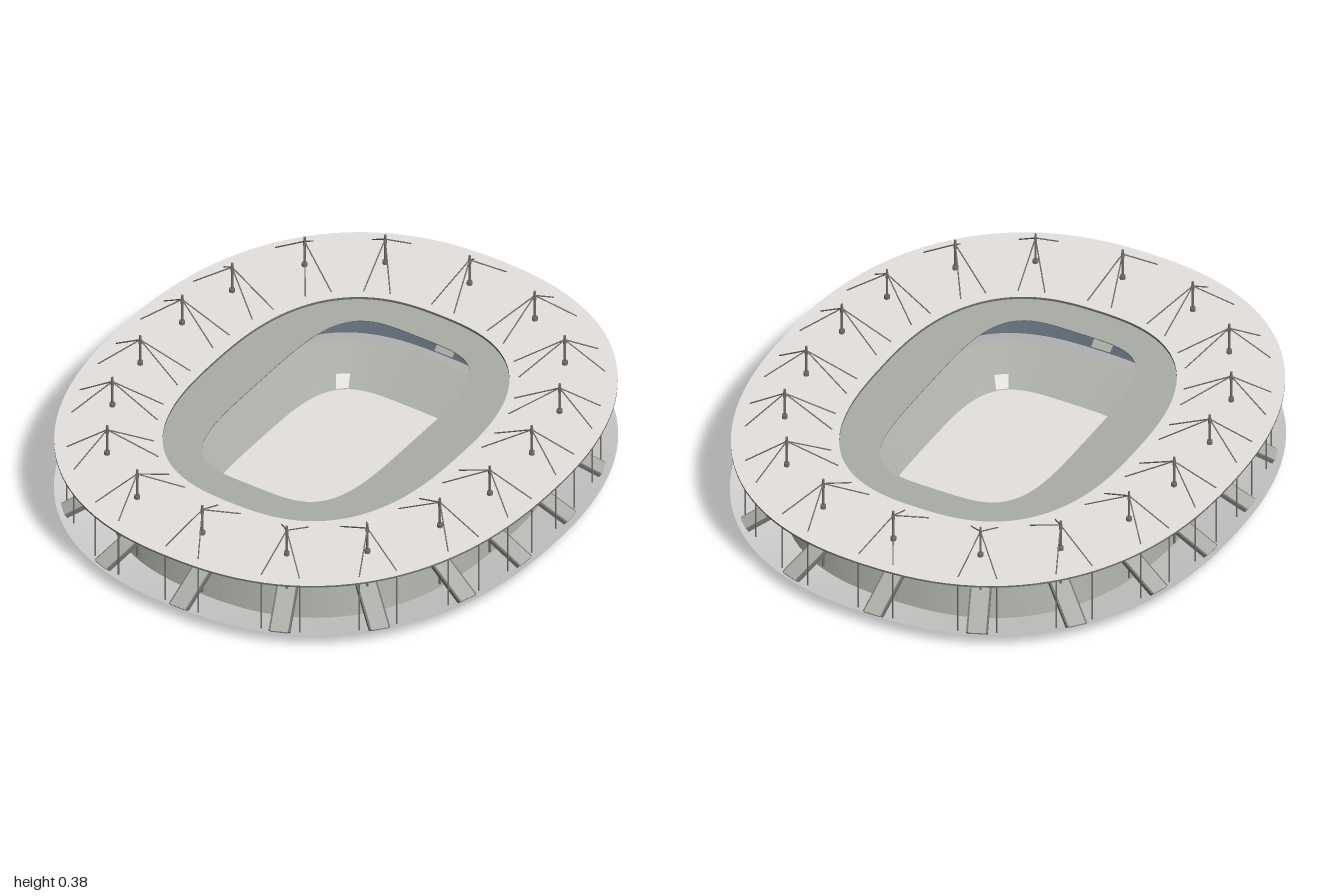
import * as THREE from 'three';

const mat = (name, color, side = THREE.DoubleSide) => {
  const m = new THREE.MeshStandardMaterial({ color, side });
  m.name = name;
  return m;
};

export function createModel() {
  const roofWhite = mat('pale roof', 0xe5e2e0);
  const concrete = mat('green grey concrete', 0xaaaea6);
  const baseGrey = mat('base grey', 0xd2d0ce);
  const shellGrey = mat('shell grey', 0x70716e);
  const seatBlue = mat('slate seats', 0x5b6672);
  const steel = mat('dark steel', 0x707070);

  const model = new THREE.Group();
  model.name = 'stadium';
  const bowl = new THREE.Group();
  bowl.name = 'stadiumBody';
  bowl.rotation.y = 0.157; // the long axis is turned slightly
  model.add(bowl);

  const add = (name, geometry, material, parent = bowl) => {
    const mesh = new THREE.Mesh(geometry, material);
    mesh.name = name;
    parent.add(mesh);
    return mesh;
  };

  // Point of a rounded oval ring at polar angle t
  const ring = (a, b, n, y) => (t) => {
    const c = Math.cos(t), s = Math.sin(t);
    const r = Math.pow(Math.pow(Math.abs(c) / a, n) + Math.pow(Math.abs(s) / b, n), -1 / n);
    return [r * c, typeof y === 'function' ? y(t) : y, r * s];
  };

  // Ring between two rings at fraction k, raised by lift
  const mix = (r0, r1, k, lift) => (t) => {
    const p = r0(t), q = r1(t);
    return p.map((v, i) => v + (q[i] - v) * k + (i === 1 ? lift : 0));
  };

  // Band between two rings; outer ring second gives an upward face
  const band = (r0, r1, from = 0, to = Math.PI * 2, seg = 128) => {
    const closed = to - from > 6.28, count = closed ? seg : seg + 1;
    const pos = [], idx = [];
    for (let i = 0; i < count; i++) {
      const t = from + ((to - from) * i) / seg;
      pos.push(...r0(t), ...r1(t));
    }
    for (let i = 0; i < seg; i++) {
      const p = i * 2, q = ((i + 1) % count) * 2;
      idx.push(p, q, p + 1, q, q + 1, p + 1);
    }
    const g = new THREE.BufferGeometry();
    g.setAttribute('position', new THREE.Float32BufferAttribute(pos, 3));
    g.setIndex(idx);
    g.computeVertexNormals();
    return g;
  };

  // Pitch, lower stand and the light gangways at its corners
  const pitchEdge = ring(0.31, 0.435, 4, 0.01);
  const lowerTop = ring(0.525, 0.635, 2.8, 0.07);
  add('pitch', band(ring(0.001, 0.0014, 4, 0.01), pitchEdge), roofWhite);
  add('lowerStand', band(pitchEdge, lowerTop), concrete);
  for (const t of [1.03, Math.PI - 1.03, Math.PI + 1.03, Math.PI * 2 - 1.03])
    add('cornerGangway', band(mix(pitchEdge, lowerTop, 0, 0.004), mix(pitchEdge, lowerTop, 0.3, 0.004),
      t - 0.045, t + 0.045, 6), roofWhite);

  // Upper stand with a rim that rises along the long sides
  const rimY = (t) => 0.2 + 0.035 * Math.cos(t) ** 2;
  const rim = ring(0.68, 0.775, 2.4, rimY);
  const wallTop = ring(0.652, 0.775, 2.4, 0.145);
  const seatFoot = ring(0.535, 0.645, 2.8, 0.092);
  add('upperSeats', band(seatFoot, rim), seatBlue);
  add('upperShell', band(rim, wallTop), shellGrey);
  for (const t of [Math.PI / 2, Math.PI * 1.5])
    add('endGangway', band(mix(seatFoot, rim, 0, 0.005), mix(seatFoot, rim, 0.65, 0.005),
      t - 0.055, t + 0.055, 6), concrete);

  // Outer wall meeting the flared base skirt
  const wallFoot = ring(0.675, 0.808, 2.4, 0);
  add('outerWall', band(wallTop, wallFoot), concrete);
  add('baseSkirt', band(wallFoot, ring(0.862, 0.98, 2.3, 0.055)), baseGrey);

  // Flat ring roof with a lower inner canopy
  const outer = (y) => ring(0.852, 0.995, 2.3, y);
  const inner = (y) => ring(0.485, 0.63, 2.6, y);
  const opening = (y) => ring(0.305, 0.5, 4, y);
  add('roofTop', band(inner(0.267), outer(0.267)), roofWhite);
  add('roofUnderside', band(outer(0.26), inner(0.26)), roofWhite);
  add('roofOuterEdge', band(outer(0.267), outer(0.26)), steel);
  add('roofInnerEdge', band(inner(0.257), inner(0.267)), steel);
  add('canopyTop', band(opening(0.258), inner(0.258)), concrete);
  add('canopyUnderside', band(inner(0.255), opening(0.255)), concrete);
  add('canopyEdge', band(opening(0.255), opening(0.258)), steel);

  // Round bar or flat beam between two points
  const bar = (name, p, q, r) => {
    const m = add(name, new THREE.CylinderGeometry(r, r, p.distanceTo(q), 8), steel);
    m.position.copy(p).add(q).multiplyScalar(0.5);
    m.quaternion.setFromUnitVectors(new THREE.Vector3(0, 1, 0), q.clone().sub(p).normalize());
  };
  const beam = (name, p, q, w, h, material) => {
    const m = add(name, new THREE.BoxGeometry(w, h, p.distanceTo(q)), material);
    m.position.copy(p).add(q).multiplyScalar(0.5);
    const d = q.clone().sub(p).normalize();
    const side = new THREE.Vector3(0, 1, 0).cross(d).normalize();
    m.quaternion.setFromRotationMatrix(new THREE.Matrix4().makeBasis(side, d.clone().cross(side), d));
  };

  // Masts with stays, edge posts and access ramps, repeated by half turn
  const masts = [
    [-0.016, -0.828], [0.275, -0.782], [-0.314, -0.769], [0.495, -0.631], [-0.531, -0.61],
    [0.63, -0.397], [-0.652, -0.356], [0.682, -0.151], [-0.691, -0.114],
  ];
  for (const k of [1, -1]) for (const [mx, mz] of masts) {
    const x = mx * k, z = mz * k;
    const n = new THREE.Vector2(
      Math.sign(x) * Math.abs(x) ** 1.3 / 0.855 ** 2.3,
      Math.sign(z) * Math.abs(z) ** 1.3 / 0.995 ** 2.3).normalize();
    // Point at a distance outward and sideways from the mast
    const at = (out, side, y) => new THREE.Vector3(x + n.x * out - n.y * side, y, z + n.y * out + n.x * side);
    bar('mast', at(0, 0, 0.03), at(0, 0, 0.385), 0.0042);
    bar('mastCollar', at(0, 0, 0.264), at(0, 0, 0.28), 0.01);
    bar('mastHead', at(0, 0, 0.352), at(0, 0, 0.37), 0.006);
    for (const s of [-1, 1]) {
      bar('outerStay', at(0, 0, 0.368), at(0.125, s * 0.065, 0.267), 0.0022);
      bar('innerStay', at(0, 0, 0.368), at(-0.165, s * 0.045, 0.267), 0.0022);
      bar('edgePost', at(0.125, s * 0.065, 0.045), at(0.125, s * 0.065, 0.262), 0.0026);
      beam('rampBeam', at(-0.035, s * 0.033, 0.136), at(0.145, s * 0.033, 0.053), 0.006, 0.014, steel);
    }
    beam('ramp', at(-0.035, 0, 0.142), at(0.15, 0, 0.056), 0.06, 0.008, concrete);
  }

  // Scoreboards at both ends, screens facing the pitch
  for (const s of [-1, 1]) {
    const board = new THREE.Group();
    board.name = 'scoreboard';
    board.position.set(0.012 * s, 0.215, 0.76 * s);
    bowl.add(board);
    add('scoreboardCase', new THREE.BoxGeometry(0.092, 0.052, 0.02), concrete, board);
    add('scoreboardScreen', new THREE.BoxGeometry(0.092, 0.052, 0.004), seatBlue, board).position.z = -0.012 * s;
  }
  return model;
}
